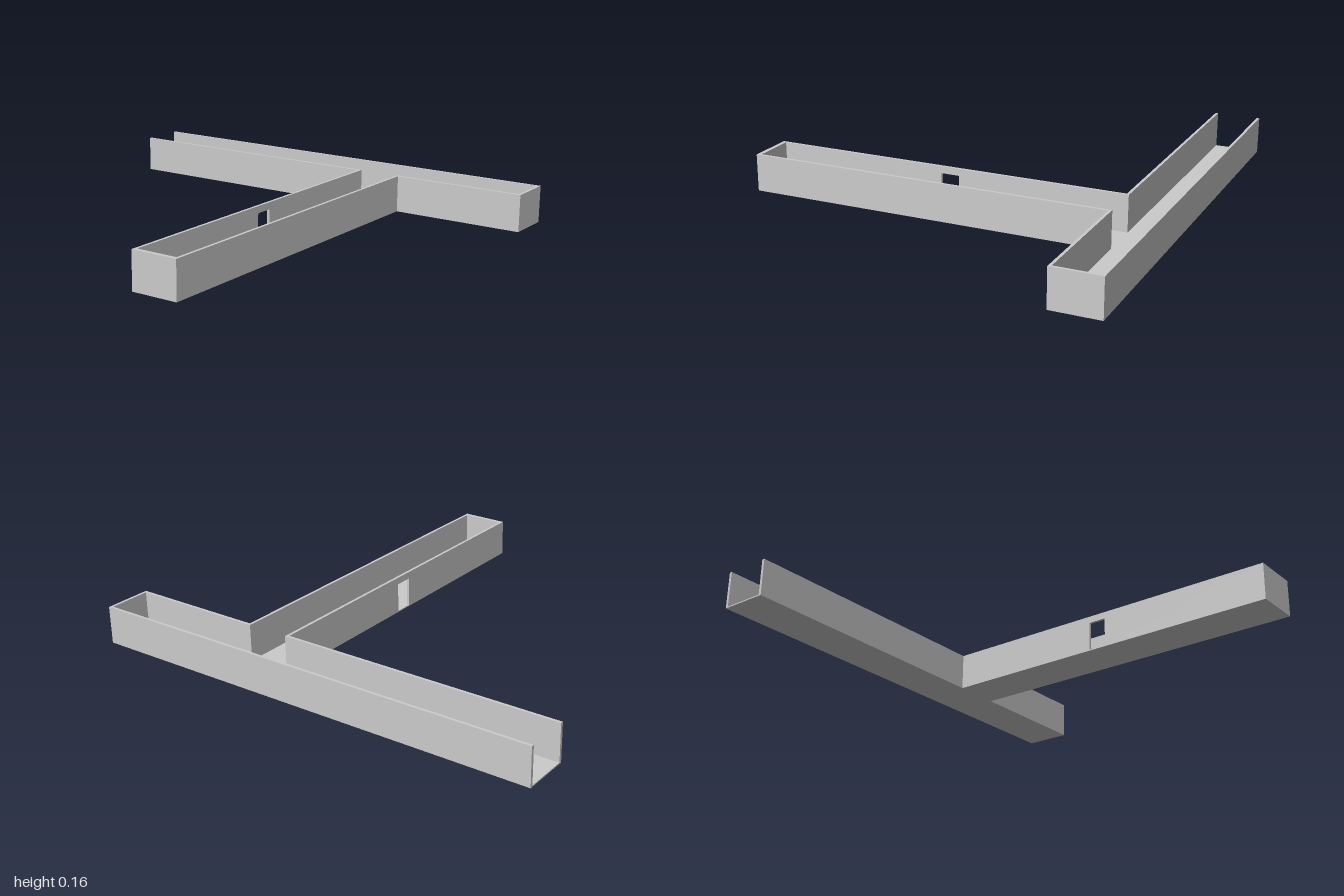
import * as THREE from 'three';

export function createModel() {
  const group = new THREE.Group();
  group.name = 'corridor';
  const material = new THREE.MeshStandardMaterial({ color: 0xcccccc, flatShading: true });

  const H = 0.16;        // wall height
  const T = 0.012;       // wall thickness
  const F = 0.005;       // floor thickness
  const back = -0.885, front = 0.885;   // overall depth
  const hallFront = -0.68;              // front of the cross hall
  const left = 0.42, right = 0.215;     // sides of the stem hall
  const doorA = 0.035, doorB = 0.115, doorTop = 0.13;

  // Box given by its two opposite limits on each axis
  function block(name, x0, x1, z0, z1, y0 = F, y1 = H) {
    const geometry = new THREE.BoxGeometry(x1 - x0, y1 - y0, z1 - z0);
    geometry.translate((x0 + x1) / 2, (y0 + y1) / 2, (z0 + z1) / 2);
    const mesh = new THREE.Mesh(geometry, material);
    mesh.name = name;
    group.add(mesh);
  }

  // T-shaped floor (shape y becomes -z)
  const plan = [[-1, back], [1, back], [1, hallFront], [left, hallFront],
    [left, front], [right, front], [right, hallFront], [-1, hallFront]];
  const shape = new THREE.Shape(plan.map(([x, z]) => new THREE.Vector2(x, -z)));
  const floorGeometry = new THREE.ExtrudeGeometry(shape, { depth: F, bevelEnabled: false });
  floorGeometry.rotateX(-Math.PI / 2);
  const floor = new THREE.Mesh(floorGeometry, material);
  floor.name = 'floor';
  group.add(floor);

  // Cross hall, open at its right end
  block('hallBackWall', -1, 1, back, back + T);
  block('hallEndWall', 1 - T, 1, back + T, hallFront);
  block('hallFrontWallRight', -1, right + T, hallFront - T, hallFront);
  block('hallFrontWallLeft', left - T, 1 - T, hallFront - T, hallFront);

  // Stem hall, with a doorway in its right wall
  block('stemLeftWall', left - T, left, hallFront, front);
  block('stemRightWallBack', right, right + T, hallFront, doorA);
  block('stemRightWallFront', right, right + T, doorB, front);
  block('doorLintel', right, right + T, doorA, doorB, doorTop, H);
  block('stemEndWall', right + T, left - T, front - 0.018, front);

  return group;
}
